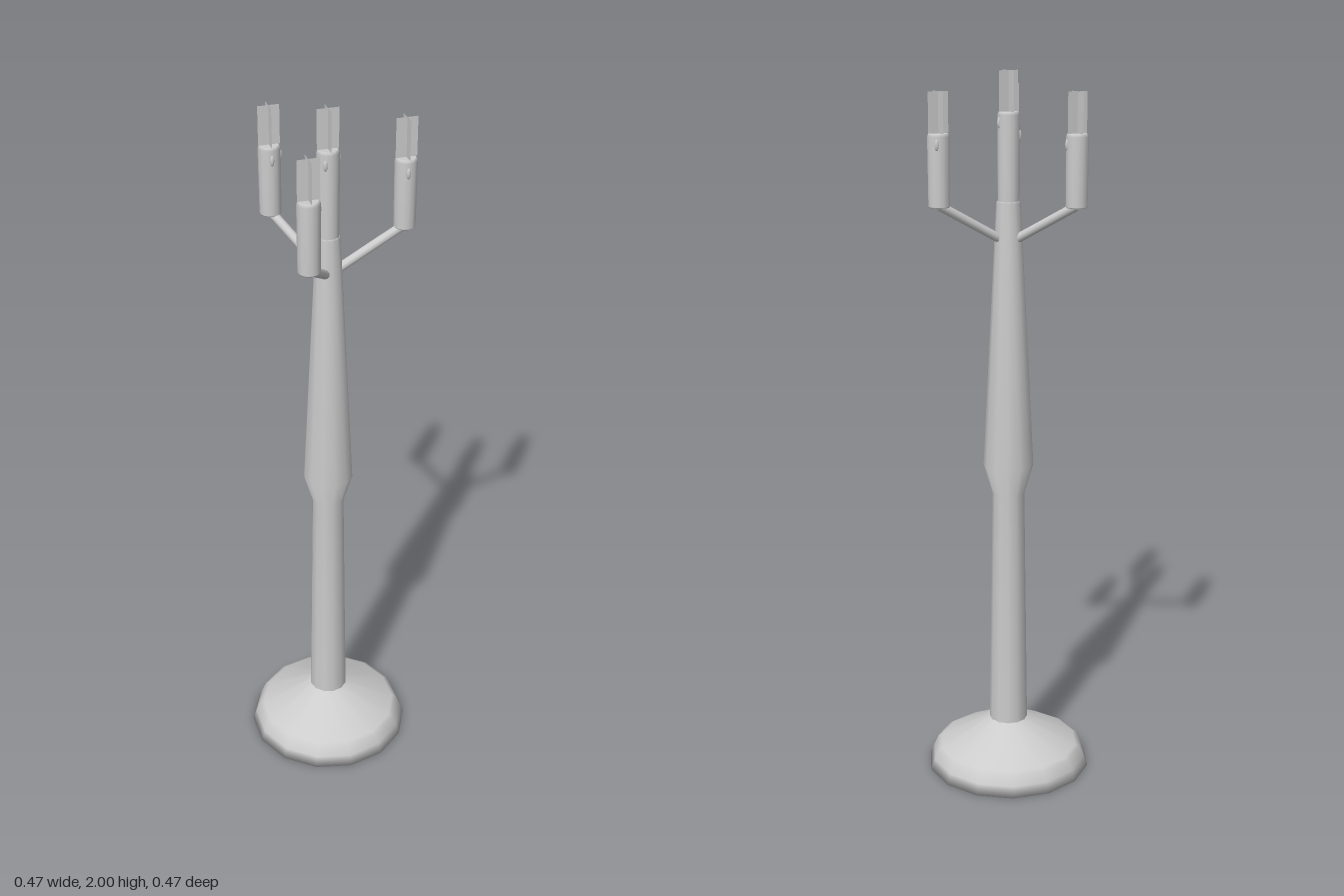
import * as THREE from 'three';

const metal = new THREE.MeshStandardMaterial({ color: 0xcccccc });
metal.name = 'pale grey';
const sheet = new THREE.MeshStandardMaterial({ color: 0xcccccc, side: THREE.DoubleSide });
sheet.name = 'pale grey sheet';

const AXIS_X = -0.008; // the stem sits slightly off centre

function add(parent, name, geometry, material = metal) {
  const mesh = new THREE.Mesh(geometry, material);
  mesh.name = name;
  parent.add(mesh);
  return mesh;
}

function lathe(profile, sides) {
  return new THREE.LatheGeometry(profile.map(([r, y]) => new THREE.Vector2(r, y)), sides);
}

// Candle with rounded rim, wax drips and a flame of two crossed sheets
function candle(bottom, top, dripAngles) {
  const group = new THREE.Group();
  const r = 0.03;
  add(group, 'candleBody', lathe([
    [0, bottom], [r - 0.003, bottom], [r - 0.001, bottom + 0.003],
    [r, top - 0.008], [r - 0.004, top], [r - 0.006, top], [0, top - 0.001],
  ], 14));
  dripAngles.forEach((deg, i) => {
    const a = THREE.MathUtils.degToRad(deg);
    const drip = add(group, 'waxDrip', new THREE.SphereGeometry(0.006, 8, 6));
    drip.scale.y = 2.6;
    drip.position.set(Math.cos(a) * 0.028, top - 0.028 - i * 0.006, Math.sin(a) * 0.028);
  });
  for (const turn of [0, Math.PI / 2]) {
    const flame = add(group, 'flameSheet', new THREE.PlaneGeometry(0.058, 0.106), sheet);
    flame.position.y = top + 0.053;
    flame.rotation.y = turn;
  }
  return group;
}

export function createModel() {
  const model = new THREE.Group();
  model.name = 'candelabra';
  const stand = new THREE.Group();
  stand.name = 'stand';
  stand.position.x = AXIS_X;
  model.add(stand);

  // Flared foot
  add(stand, 'foot', lathe([
    [0, 0], [0.236, 0], [0.224, 0.03], [0.212, 0.058], [0.2, 0.064], [0.055, 0.143], [0.04, 0.15],
  ], 14));

  // Stem that swells above the middle and tapers to the top
  add(stand, 'stem', lathe([
    [0.055, 0.14], [0.045, 0.836], [0.07, 0.92], [0.033, 1.655], [0.028, 1.66], [0, 1.66],
  ], 12));

  const middle = candle(1.62, 1.894, [0, 120]);
  middle.name = 'middleCandle';
  stand.add(middle);

  // Three sloping arms, each with a candle
  const drips = [[-54, 96], [-10, -138], [9, 90]];
  drips.forEach((angles, i) => {
    const a = (i * Math.PI * 2) / 3;
    const at = (d, y) => new THREE.Vector3(Math.cos(a) * d, y, Math.sin(a) * d);
    const path = new THREE.LineCurve3(at(0.012, 1.551), at(0.207, 1.66));
    add(stand, 'arm', new THREE.TubeGeometry(path, 1, 0.0125, 10, false));
    const outer = candle(1.656, 1.847, angles);
    outer.name = 'armCandle';
    outer.position.copy(at(0.207, 0));
    stand.add(outer);
  });

  return model;
}
